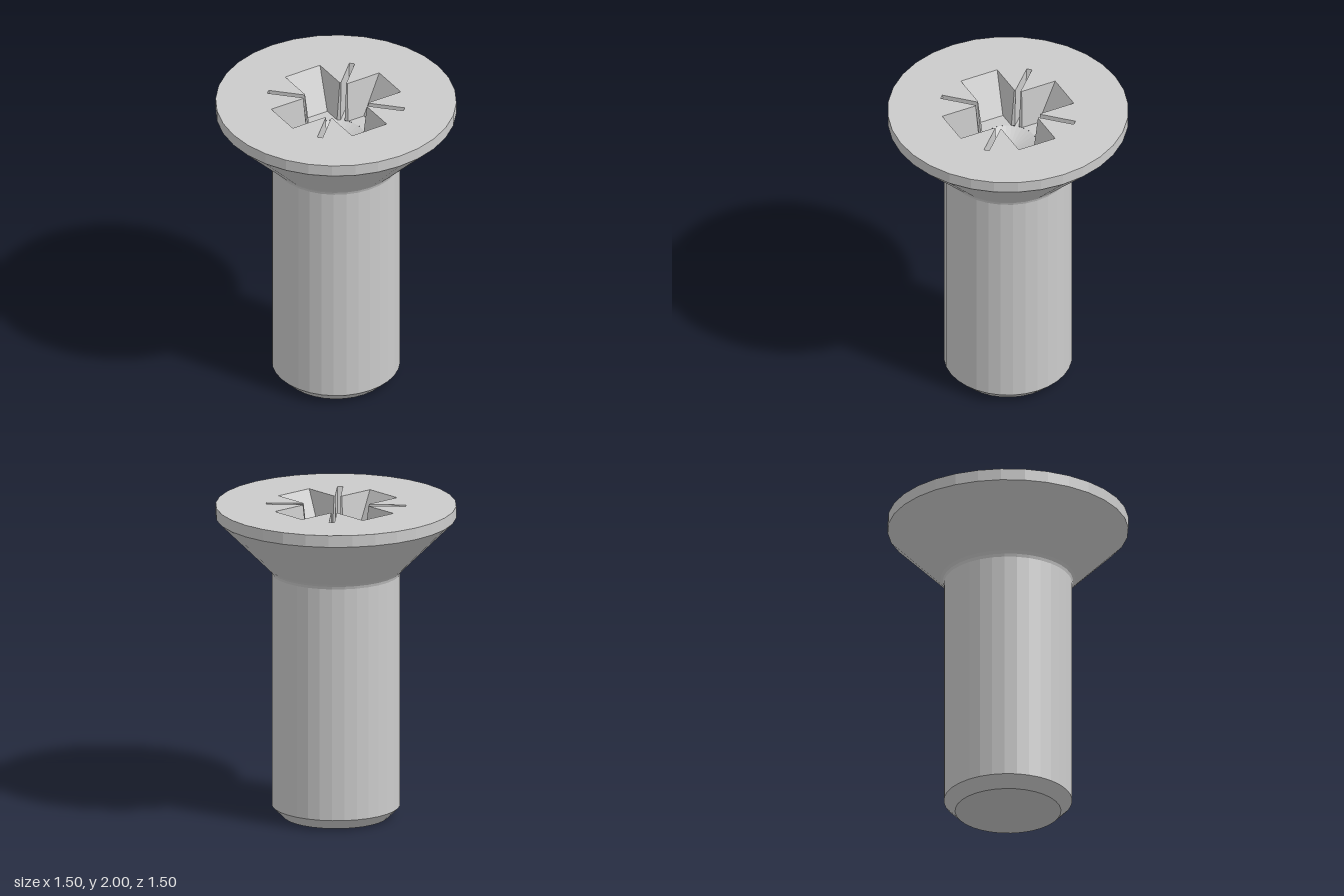
import * as THREE from 'three';

const SIDES = 32;
const FLOOR = 1.74; // height of the recess floor
const CORE = 0.18;  // radius of the drill point at the floor

const material = () => new THREE.MeshStandardMaterial({ color: 0xcccccc, flatShading: true });
const v2 = (x, y) => new THREE.Vector2(x, y);

function addMesh(group, name, geometry) {
  const mesh = new THREE.Mesh(geometry, material());
  mesh.name = name;
  group.add(mesh);
  return mesh;
}

// Horizontal, upward-facing surface at a given height
const flat = (shape, y) => new THREE.ShapeGeometry(shape).rotateX(-Math.PI / 2).translate(0, y, 0);

// Cross outline with four narrow diagonal grooves, anticlockwise
function recessOutline({ arm, half, core, groove, slit }) {
  const inner = Math.sqrt(core * core - half * half);
  const diagonal = (r, w) => v2((r - w) * Math.SQRT1_2, (r + w) * Math.SQRT1_2);
  const quarter = [
    v2(arm, half), v2(inner, half),
    diagonal(core, -slit), diagonal(groove, -slit),
    diagonal(groove, slit), diagonal(core, slit),
    v2(half, inner), v2(half, arm),
  ];
  const points = [];
  for (let i = 0; i < 4; i++) {
    for (const p of quarter) points.push(p.clone().rotateAround(v2(0, 0), i * Math.PI / 2));
  }
  return points;
}

// Inward-facing walls between the upper and lower outlines
function wallGeometry(top, bottom, yTop, yBottom) {
  const positions = [];
  const put = (p, y) => positions.push(p.x, y, -p.y);
  for (let i = 0; i < top.length; i++) {
    const j = (i + 1) % top.length;
    put(top[i], yTop); put(top[j], yTop); put(bottom[j], yBottom);
    put(top[i], yTop); put(bottom[j], yBottom); put(bottom[i], yBottom);
  }
  const geometry = new THREE.BufferGeometry();
  geometry.setAttribute('position', new THREE.Float32BufferAttribute(positions, 3));
  geometry.computeVertexNormals();
  return geometry;
}

export function createModel() {
  const screw = new THREE.Group();
  screw.name = 'countersunkScrew';

  // Shank with chamfered tip, small neck fillet, conical head and rim
  const profile = [
    [0, 0], [0.33, 0], [0.4, 0.07], [0.4, 1.56], [0.406, 1.578],
    [0.42, 1.595], [0.75, 1.925], [0.75, 2],
  ].map(([r, y]) => v2(r, y));
  addMesh(screw, 'shankAndHead', new THREE.LatheGeometry(profile, SIDES));

  // Recess outlines at the head surface and at the floor
  const upper = recessOutline({ arm: 0.395, half: 0.127, core: 0.205, groove: 0.435, slit: 0.017 });
  const lower = recessOutline({ arm: 0.265, half: 0.1, core: CORE, groove: 0.375, slit: 0.013 });

  // Flat head surface with the recess cut out
  const rim = [];
  for (let i = 0; i < SIDES; i++) {
    const a = i / SIDES * Math.PI * 2;
    rim.push(v2(0.75 * Math.cos(a), 0.75 * Math.sin(a)));
  }
  const face = new THREE.Shape(rim);
  face.holes.push(new THREE.Path(upper));
  addMesh(screw, 'headFace', flat(face, 2));

  const recess = new THREE.Group();
  recess.name = 'driveRecess';
  screw.add(recess);
  addMesh(recess, 'recessWalls', wallGeometry(upper, lower, 2, FLOOR));

  // Floors of the four arms and four grooves, meeting the drill point
  const spread = Math.asin(0.1 / CORE);
  const armFloor = new THREE.Shape();
  armFloor.moveTo(0.265, -0.1);
  armFloor.lineTo(0.265, 0.1);
  armFloor.absarc(0, 0, CORE, spread, -spread, true);
  const grooveFloor = new THREE.Shape([
    v2(CORE - 0.005, -0.013), v2(0.375, -0.013), v2(0.375, 0.013), v2(CORE - 0.005, 0.013),
  ]);
  for (let i = 0; i < 4; i++) {
    addMesh(recess, 'armFloor', flat(armFloor, FLOOR)).rotation.y = i * Math.PI / 2;
    addMesh(recess, 'grooveFloor', flat(grooveFloor, FLOOR)).rotation.y = (i + 0.5) * Math.PI / 2;
  }

  // Conical drill point at the centre
  addMesh(recess, 'drillPoint', new THREE.LatheGeometry([v2(CORE, FLOOR), v2(0, FLOOR - 0.08)], SIDES));

  return screw;
}
